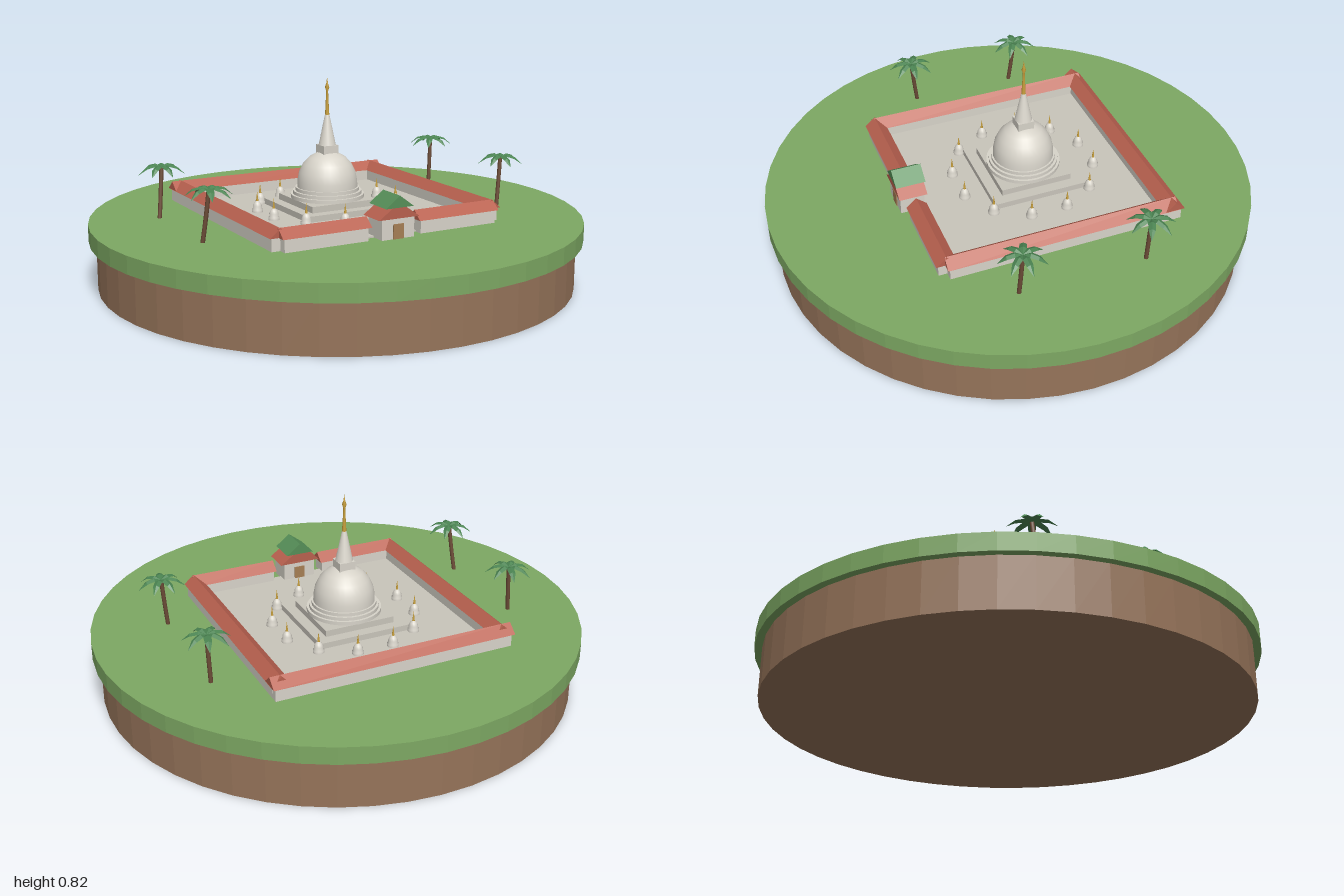
import * as THREE from 'three';

const mat = (name, color, opts = {}) => {
  const m = new THREE.MeshStandardMaterial({ color, ...opts });
  m.name = name;
  return m;
};

export function createModel() {
  const model = new THREE.Group();
  model.name = 'templeIsland';
  const grass = mat('grass', 0x7da863, { flatShading: true });
  const earth = mat('earth', 0x96745a, { flatShading: true });
  const paving = mat('paving', 0xc9c5bb, { flatShading: true });
  const plaster = mat('plaster', 0xd8d4ca);
  const redTile = mat('redTile', 0xb9614f, { flatShading: true });
  const greenTile = mat('greenTile', 0x568f58, { flatShading: true });
  const leaf = mat('palmLeaf', 0x4b8452, { flatShading: true, side: THREE.DoubleSide });
  const bark = mat('bark', 0x6e4d38);
  const gold = mat('gold', 0xc79f3c);
  const wood = mat('wood', 0xa67f55);

  const add = (parent, name, geo, material, x = 0, y = 0, z = 0) => {
    const mesh = new THREE.Mesh(geo, material);
    mesh.name = name;
    mesh.position.set(x, y, z);
    parent.add(mesh);
    return mesh;
  };
  const box = (w, h, d) => new THREE.BoxGeometry(w, h, d);
  const lathe = (pts, seg) =>
    new THREE.LatheGeometry(pts.map(([r, y]) => new THREE.Vector2(r, y)), seg);
  // Gabled prism: base at y = 0, ridge along z
  const gable = (w, h, d) => {
    const s = new THREE.Shape();
    s.moveTo(-w / 2, 0);
    s.lineTo(w / 2, 0);
    s.lineTo(0, h);
    s.closePath();
    return new THREE.ExtrudeGeometry(s, { depth: d, bevelEnabled: false }).translate(0, 0, -d / 2);
  };

  // Island
  const ground = 0.268;
  add(model, 'earthDisc', new THREE.CylinderGeometry(0.97, 0.97, 0.2, 48), earth, 0, 0.1, 0);
  add(model, 'grassDisc', new THREE.CylinderGeometry(1, 1, ground - 0.198, 48), grass, 0, (ground + 0.198) / 2, 0);

  // Walled court, turned on the island
  const court = new THREE.Group();
  court.name = 'court';
  court.position.set(0.02, ground, -0.065);
  court.rotation.y = -Math.PI / 9;
  model.add(court);
  add(court, 'courtFloor', box(0.94, 0.006, 0.94), paving, 0, 0.003, 0.026);

  const wall = (name, length, x, z, turn) => {
    const g = new THREE.Group();
    g.name = name;
    g.position.set(x, 0, z);
    g.rotation.y = turn;
    court.add(g);
    add(g, 'wallBody', box(0.064, 0.054, length - 0.02), plaster, 0, 0.027, 0);
    add(g, 'wallRoof', gable(0.084, 0.036, length), redTile, 0, 0.052, 0);
  };
  wall('backWall', 1.02, 0, -0.443, Math.PI / 2);
  for (const s of [-1, 1]) {
    wall('sideWall', 0.965, s * 0.469, 0.022, 0);
    wall('frontWall', 0.37, s * 0.291, 0.498, Math.PI / 2);
  }

  // Gatehouse with two stacked roofs
  const gate = new THREE.Group();
  gate.name = 'gatehouse';
  gate.position.z = 0.503;
  court.add(gate);
  add(gate, 'gateBody', box(0.142, 0.084, 0.1), plaster, 0, 0.042, 0);
  add(gate, 'lowerRoof', gable(0.178, 0.062, 0.116), redTile, 0, 0.08, 0);
  add(gate, 'upperRoof', gable(0.122, 0.046, 0.122), greenTile, 0, 0.122, 0);
  for (const s of [-1, 1]) add(gate, 'door', box(0.045, 0.058, 0.006), wood, 0, 0.029, s * 0.051);

  // Main stupa: square terraces, round steps, dome, ringed spire, finial
  const stupa = new THREE.Group();
  stupa.name = 'stupa';
  court.add(stupa);
  add(stupa, 'lowerTerrace', box(0.39, 0.03, 0.39), paving, 0, 0.015, 0);
  add(stupa, 'upperTerrace', box(0.3, 0.028, 0.3), paving, 0, 0.042, 0);
  [0.152, 0.142, 0.132].forEach((r, i) =>
    add(stupa, 'roundStep', new THREE.CylinderGeometry(r, r, 0.016, 32), plaster, 0, 0.063 + i * 0.014, 0));
  add(stupa, 'dome', lathe([[0.125, 0.094], [0.124, 0.125], [0.117, 0.16], [0.1, 0.195],
    [0.075, 0.222], [0.042, 0.24], [0, 0.246]], 32), plaster);
  add(stupa, 'crownBlock', box(0.068, 0.036, 0.068), plaster, 0, 0.255, 0);
  for (let i = 0; i < 9; i++) {
    const r = 0.036 - i * 0.0029;
    add(stupa, 'spireRing', new THREE.CylinderGeometry(r - 0.004, r, 0.0145, 16), plaster, 0, 0.28 + i * 0.0138, 0);
  }
  add(stupa, 'finial', lathe([[0.009, 0.395], [0.006, 0.45], [0.004, 0.495], [0.009, 0.51],
    [0.004, 0.525], [0, 0.552]], 12), gold);

  // Ring of twelve small stupas
  const bell = lathe([[0.023, 0], [0.023, 0.012], [0.019, 0.014], [0.019, 0.026],
    [0.014, 0.038], [0.006, 0.046], [0, 0.048]], 14);
  const spike = new THREE.ConeGeometry(0.006, 0.044, 8);
  for (let i = 0; i < 12; i++) {
    const a = (i + 0.5) * Math.PI / 6;
    const g = new THREE.Group();
    g.name = 'smallStupa';
    g.position.set(Math.cos(a) * 0.295, 0.005, Math.sin(a) * 0.295);
    court.add(g);
    add(g, 'smallBell', bell, plaster);
    add(g, 'smallFinial', spike, gold, 0, 0.065, 0);
  }

  // Palm frond: folded, drooping leaf along +x (distance, half width, ridge height)
  const rows = [[0, 0.004, 0], [0.03, 0.015, 0.012], [0.062, 0.013, 0.003], [0.094, 0.001, -0.026]];
  const pos = [];
  const idx = [];
  rows.forEach(([x, w, y], i) => {
    pos.push(x, y - w * 0.5, -w, x, y, 0, x, y - w * 0.5, w);
    if (i) for (const k of [0, 1]) {
      const a = (i - 1) * 3 + k;
      idx.push(a, a + 1, a + 3, a + 1, a + 4, a + 3);
    }
  });
  const frond = new THREE.BufferGeometry();
  frond.setAttribute('position', new THREE.Float32BufferAttribute(pos, 3));
  frond.setIndex(idx);
  frond.computeVertexNormals();

  // Palms: crown x, z and trunk foot offset
  [[-0.512, -0.485, -0.026, 0.01], [-0.68, -0.03, -0.01, -0.03], [0.735, -0.065, -0.01, 0],
    [0.563, 0.425, -0.02, 0]].forEach(([x, z, dx, dz], n) => {
    const palm = new THREE.Group();
    palm.name = 'palm';
    palm.position.set(x, 0, z);
    model.add(palm);
    const top = 0.472;
    const curve = new THREE.QuadraticBezierCurve3(
      new THREE.Vector3(dx, ground - 0.005, dz),
      new THREE.Vector3(dx * 0.4, 0.37, dz * 0.4),
      new THREE.Vector3(0, top, 0));
    add(palm, 'trunk', new THREE.TubeGeometry(curve, 6, 0.0085, 8), bark);
    for (let i = 0; i < 7; i++)
      add(palm, 'frond', frond, leaf, 0, top, 0).rotation.y = n * 0.5 + (i * Math.PI * 2) / 7;
  });

  return model;
}
